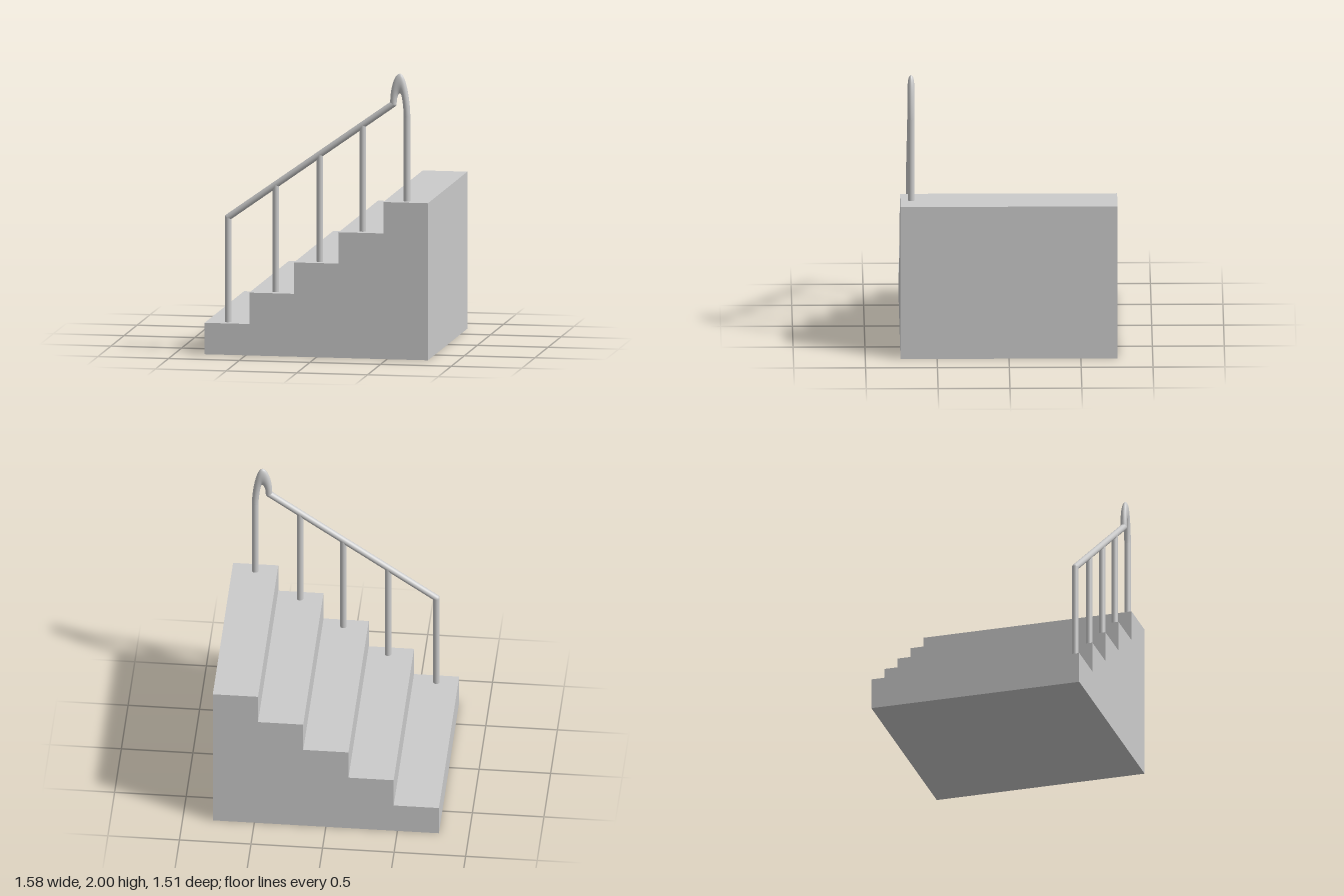
import * as THREE from 'three';

const material = new THREE.MeshStandardMaterial({ color: 0xcccccc });
const RADIUS = 0.023, RAIL_Z = 0.68;
const HALF_W = 0.79, DEPTH = 1.51, STEPS = 5, RISE = 0.221;
const RUN = (2 * HALF_W) / STEPS;
const railStart = new THREE.Vector3(-0.638, 0.957, RAIL_Z);
const railEnd = new THREE.Vector3(0.532, 1.787, RAIL_Z);

function add(parent, name, geometry) {
  const mesh = new THREE.Mesh(geometry, material);
  mesh.name = name;
  parent.add(mesh);
  return mesh;
}

// Round bar between two points
function bar(parent, name, a, b) {
  const mesh = add(parent, name, new THREE.CylinderGeometry(RADIUS, RADIUS, a.distanceTo(b), 24));
  mesh.position.copy(a).lerp(b, 0.5);
  mesh.quaternion.setFromUnitVectors(new THREE.Vector3(0, 1, 0), b.clone().sub(a).normalize());
}

function joint(parent, name, p) {
  add(parent, name, new THREE.SphereGeometry(RADIUS, 24, 16)).position.copy(p);
}

// Solid staircase, rising towards +x
function stairGeometry() {
  const shape = new THREE.Shape();
  shape.moveTo(-HALF_W, 0);
  shape.lineTo(HALF_W, 0);
  shape.lineTo(HALF_W, STEPS * RISE);
  for (let i = STEPS - 1; i >= 0; i--) {
    const x = -HALF_W + i * RUN;
    shape.lineTo(x, (i + 1) * RISE);
    if (i > 0) shape.lineTo(x, i * RISE);
  }
  shape.closePath();
  return new THREE.ExtrudeGeometry(shape, { depth: DEPTH, bevelEnabled: false })
    .translate(0, 0, -DEPTH / 2);
}

// Half torus stretched upwards, its right leg drawn further down
function archGeometry(major, stretch, drop) {
  const geometry = new THREE.TorusGeometry(major, RADIUS, 24, 40, Math.PI);
  const pos = geometry.attributes.position;
  for (let i = 0; i < pos.count; i++) {
    const x = pos.getX(i), y = pos.getY(i);
    const c = Math.max(0, x / Math.hypot(x, y));
    pos.setY(i, y * stretch - drop * c * c);
  }
  geometry.computeVertexNormals();
  return geometry;
}

export function createModel() {
  const model = new THREE.Group();
  model.name = 'staircaseWithHandrail';
  add(model, 'stairs', stairGeometry());

  const handrail = new THREE.Group();
  handrail.name = 'handrail';
  model.add(handrail);

  // Sloping rail and its rounded ends
  bar(handrail, 'rail', railStart, railEnd);
  joint(handrail, 'lowerBend', railStart);
  joint(handrail, 'upperBend', railEnd);

  // One post on each tread; the last one meets the arch
  const archDrop = 0.09;
  [railStart.x, -0.3, 0.012, 0.315, 0.628].forEach((x, i) => {
    const t = (x - railStart.x) / (railEnd.x - railStart.x);
    const top = i === STEPS - 1 ? railEnd.y - archDrop : THREE.MathUtils.lerp(railStart.y, railEnd.y, t);
    bar(handrail, 'post' + (i + 1),
      new THREE.Vector3(x, (i + 1) * RISE, RAIL_Z), new THREE.Vector3(x, top, RAIL_Z));
  });

  // Tall narrow arch at the top
  add(handrail, 'topArch', archGeometry(0.048, 3, archDrop)).position.set(0.58, railEnd.y, RAIL_Z);
  return model;
}
